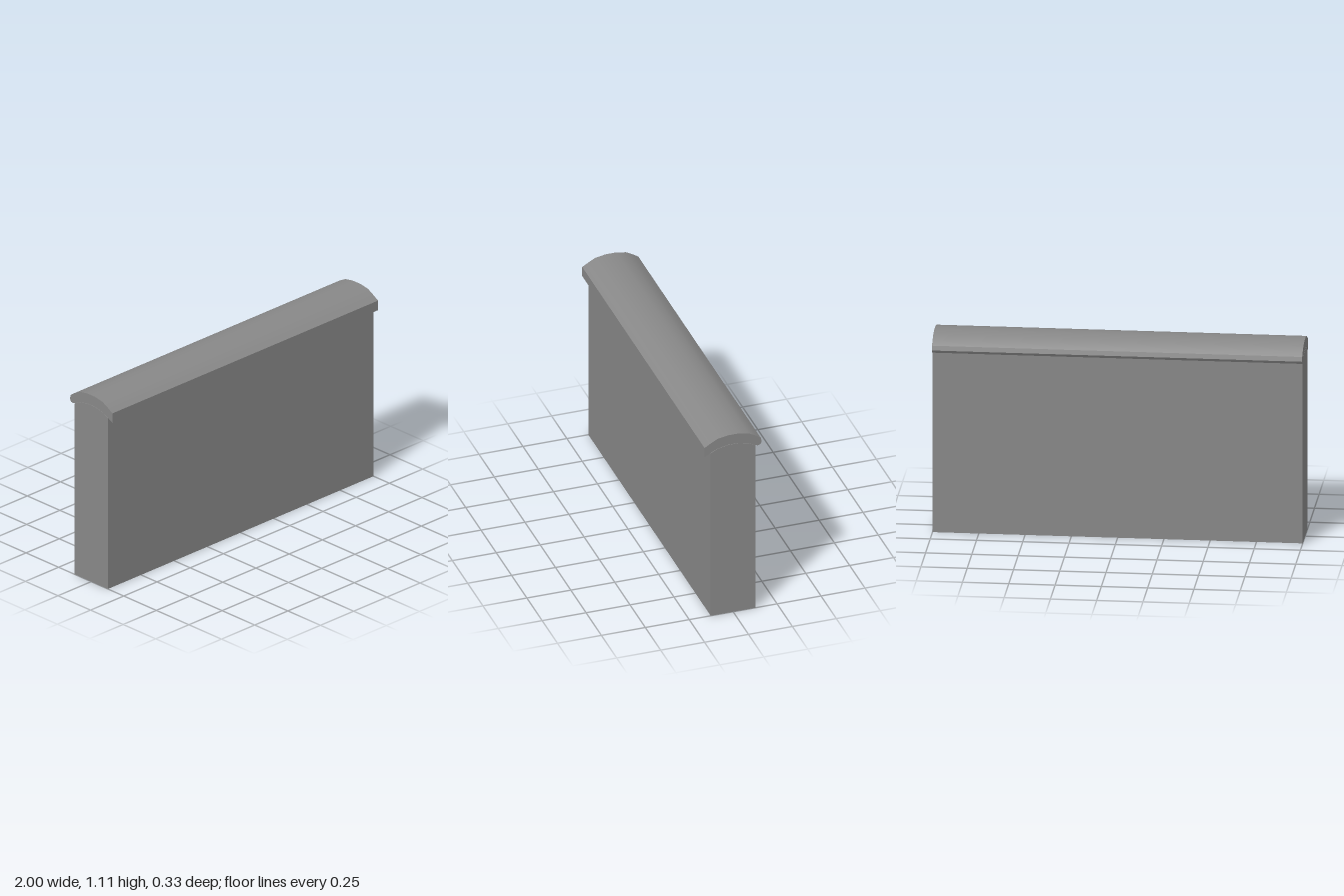
import * as THREE from 'three';
import { toCreasedNormals } from 'three/addons/utils/BufferGeometryUtils.js';

const LENGTH = 2;

// Sweep a [z, y] cross-section along x
function sweep(profile) {
  const shape = new THREE.Shape(profile.map(([z, y]) => new THREE.Vector2(-z, y)));
  const geo = new THREE.ExtrudeGeometry(shape, { depth: LENGTH, bevelEnabled: false });
  geo.translate(0, 0, -LENGTH / 2);
  geo.rotateY(Math.PI / 2);
  return geo;
}

// Drop the triangles lying on the ground, leaving the underside open
function openBottom(geo) {
  const p = geo.attributes.position;
  const kept = [];
  for (let i = 0; i < p.count; i += 3) {
    if (Math.max(p.getY(i), p.getY(i + 1), p.getY(i + 2)) < 1e-4) continue;
    for (let k = i; k < i + 3; k++) kept.push(p.getX(k), p.getY(k), p.getZ(k));
  }
  const out = new THREE.BufferGeometry();
  out.setAttribute('position', new THREE.Float32BufferAttribute(kept, 3));
  return out;
}

export function createModel() {
  const group = new THREE.Group();
  group.name = 'cappedWall';
  const material = new THREE.MeshStandardMaterial({ color: 0x888888, side: THREE.DoubleSide });
  const add = (name, geo) => {
    const mesh = new THREE.Mesh(toCreasedNormals(geo, 0.55), material);
    mesh.name = name;
    group.add(mesh);
  };

  // Hollow wall body with a gently arched top
  add('wallBody', openBottom(sweep([
    [0.128, 0], [0.128, 1.018], [0.088, 1.039], [0.03, 1.051],
    [-0.03, 1.051], [-0.088, 1.039], [-0.128, 1.018], [-0.128, 0],
  ])));

  // Arched coping: square drip edge in front, faceted round lip at the back
  add('coping', sweep([
    [0.163, 1.002], [0.163, 1.059], [0.13, 1.079], [0.087, 1.102], [0.03, 1.112],
    [-0.03, 1.112], [-0.087, 1.102], [-0.13, 1.079], [-0.157, 1.06],
    [-0.163, 1.035], [-0.154, 1.02], [-0.139, 1.016], [-0.126, 1.021],
    [-0.088, 1.041], [-0.03, 1.053], [0.03, 1.053], [0.088, 1.041], [0.128, 1.021],
  ]));

  return group;
}
